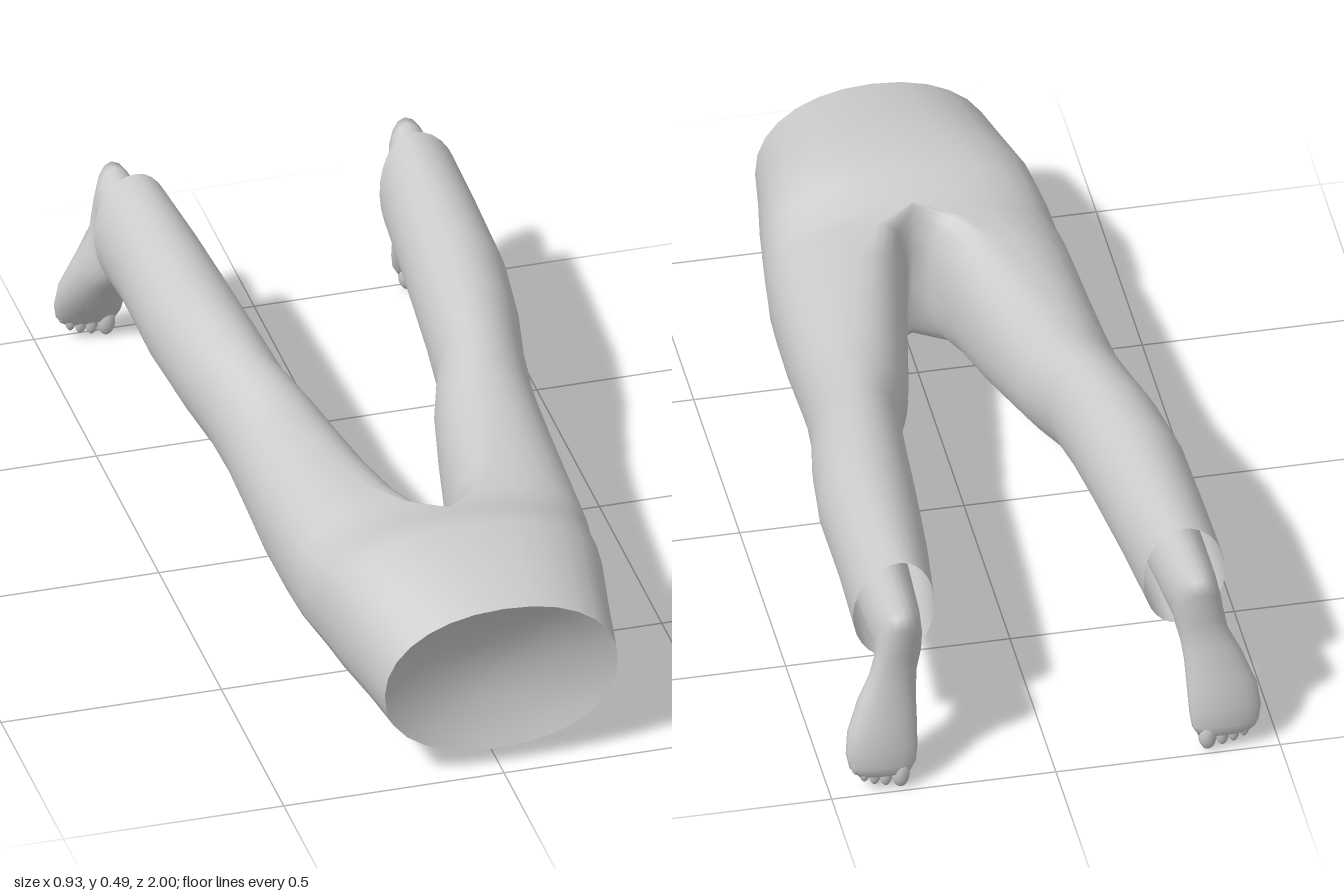
import * as THREE from 'three';
import { mergeVertices } from 'three/addons/utils/BufferGeometryUtils.js';

const material = new THREE.MeshStandardMaterial({ color: 0xcccccc, side: THREE.DoubleSide });
const HALF = 14; // segments in half a ring

// Cross-sections from waist to hem:
// [z top, z bottom, inner x, crest x, outer x, bottom y, top y, squareness]
const TORSO = [
  [1.0, 0.96, 0, 0, 0.265, 0.04, 0.422, 2.15],
  [0.86, 0.84, 0, 0, 0.285, 0.045, 0.448, 2.3],
  [0.72, 0.72, 0, 0, 0.308, 0.052, 0.467, 2.5],
  [0.63, 0.63, 0, 0, 0.32, 0.06, 0.45, 2.5],
  [0.56, 0.56, 0, 0, 0.328, 0.065, 0.42, 2.5],
];
const LEG = [
  TORSO[4],
  [0.5, 0.5, 0.026, 0.09, 0.335, 0.072, 0.416, 2.4],
  [0.4, 0.4, 0.045, 0.15, 0.34, 0.082, 0.413, 2.3],
  [0.25, 0.25, 0.074, 0.19, 0.345, 0.1, 0.411, 2.2],
  [0.1, 0.1, 0.103, 0.22, 0.348, 0.135, 0.418, 2.1],
  [0.0, 0.0, 0.125, 0.235, 0.352, 0.155, 0.43, 2],
  [-0.12, -0.12, 0.165, 0.26, 0.365, 0.18, 0.45, 2],
  [-0.25, -0.25, 0.178, 0.28, 0.39, 0.2, 0.465, 2],
  [-0.42, -0.42, 0.192, 0.3, 0.41, 0.22, 0.475, 2],
  [-0.64, -0.64, 0.212, 0.31, 0.412, 0.233, 0.485, 2],
  [-0.835, -0.8, 0.233, 0.315, 0.415, 0.215, 0.494, 2],
];

// Foot sections fan from the ankle to the toes:
// [sole z, sole y, instep z, instep y, centre x, half width]
const FOOT = [
  [-0.68, 0.43, -0.68, 0.25, 0.325, 0.064],
  [-0.88, 0.435, -0.81, 0.255, 0.33, 0.058],
  [-0.945, 0.448, -0.835, 0.24, 0.332, 0.053],
  [-0.97, 0.448, -0.845, 0.23, 0.333, 0.052],
  [-0.975, 0.41, -0.86, 0.222, 0.336, 0.052],
  [-0.964, 0.33, -0.875, 0.203, 0.347, 0.053],
  [-0.968, 0.26, -0.9, 0.168, 0.364, 0.065],
  [-0.99, 0.175, -0.925, 0.12, 0.379, 0.078],
  [-1.0, 0.11, -0.943, 0.085, 0.383, 0.08],
  [-1.0, 0.065, -0.958, 0.06, 0.382, 0.074],
  [-0.995, 0.04, -0.968, 0.04, 0.379, 0.058],
];

// Toes from big to small: [x, y, radius, half length]
const TOES = [
  [0.342, 0.038, 0.021, 0.038],
  [0.375, 0.04, 0.015, 0.033],
  [0.4, 0.044, 0.014, 0.031],
  [0.423, 0.053, 0.013, 0.03],
  [0.441, 0.07, 0.012, 0.026],
];

function trouserRing([zt, zb, xi, tx, xo, yb, yt, n], count) {
  const ring = [];
  const bend = (v) => Math.sign(v) * Math.pow(Math.abs(v), 2 / n);
  for (let j = 0; j <= count; j++) {
    const t = (j / HALF) * Math.PI;
    const c = bend(Math.abs(Math.cos(t)) < 1e-9 ? 0 : Math.cos(t));
    const s = j % HALF === 0 ? 0 : bend(Math.sin(t));
    const k = (c + 1) / 2;
    ring.push([
      tx + s * (s > 0 ? xo - tx : tx - xi),
      yb + (yt - yb) * k,
      zb + (zt - zb) * k,
    ]);
  }
  return ring;
}

function footRing([bz, by, fz, fy, xc, w]) {
  const ring = [];
  for (let j = 0; j <= 20; j++) {
    const t = ((j % 20) / 20) * Math.PI * 2;
    const k = (Math.cos(t) + 1) / 2;
    ring.push([xc + w * Math.sin(t), fy + (by - fy) * k, fz + (bz - fz) * k]);
  }
  return ring;
}

// Mirror rings across x, reversing their order to keep faces outward
const mirror = (rings) => rings.map((r) => r.map(([x, y, z]) => [-x, y, z]).reverse());

// Skin several lofts into one welded, smooth geometry
function loft(...lofts) {
  const pos = [];
  const index = [];
  for (const rings of lofts) {
    const base = pos.length / 3;
    const n = rings[0].length;
    rings.forEach((r) => r.forEach((p) => pos.push(...p)));
    for (let i = 0; i < rings.length - 1; i++) {
      for (let j = 0; j < n - 1; j++) {
        const a = base + i * n + j;
        index.push(a, a + 1, a + n, a + 1, a + n + 1, a + n);
      }
    }
  }
  const geometry = new THREE.BufferGeometry();
  geometry.setAttribute('position', new THREE.Float32BufferAttribute(pos, 3));
  geometry.setIndex(index);
  const welded = mergeVertices(geometry, 1e-5);
  welded.computeVertexNormals();
  return welded;
}

function addMesh(parent, geometry, name) {
  const mesh = new THREE.Mesh(geometry, material);
  mesh.name = name;
  parent.add(mesh);
  return mesh;
}

export function createModel() {
  const model = new THREE.Group();
  model.name = 'lyingLegs';

  // Trousers: hips split into two legs at the crotch
  const hips = TORSO.map((s) => trouserRing(s, HALF));
  const leg = LEG.map((s) => trouserRing(s, HALF * 2));
  addMesh(model, loft(hips, mirror(hips), leg, mirror(leg)), 'trousers');

  // Shallow hollow closing the waist
  const half = hips[0];
  const rim = [...half, ...mirror([half])[0].slice(1)];
  const bowl = [1, 0.85, 0.65, 0.4, 0.2, 0].map((k) =>
    rim.map(([x, y, z]) => [x * k, 0.23 + (y - 0.23) * k, 0.98 + (z - 0.98) * k - 0.05 * (1 - k * k)])
  );
  // reversed so the hollow faces forward
  addMesh(model, loft(bowl.map((r) => r.slice().reverse())), 'waistHollow');

  // Bare feet with toes
  const footRings = FOOT.map(footRing);
  const tip = footRings[footRings.length - 1];
  footRings.push(tip.map(() => [0.379, 0.034, -0.982]));
  for (const side of [1, -1]) {
    const foot = new THREE.Group();
    foot.name = side > 0 ? 'leftFoot' : 'rightFoot';
    addMesh(foot, loft(side > 0 ? footRings : mirror(footRings)), 'ankleAndFoot');
    TOES.forEach(([x, y, r, len], i) => {
      const toe = addMesh(foot, new THREE.SphereGeometry(r, 12, 10), `toe${i + 1}`);
      toe.scale.set(1, len / r, 0.9);
      toe.position.set(side * x, y, -0.98);
    });
    model.add(foot);
  }
  return model;
}
